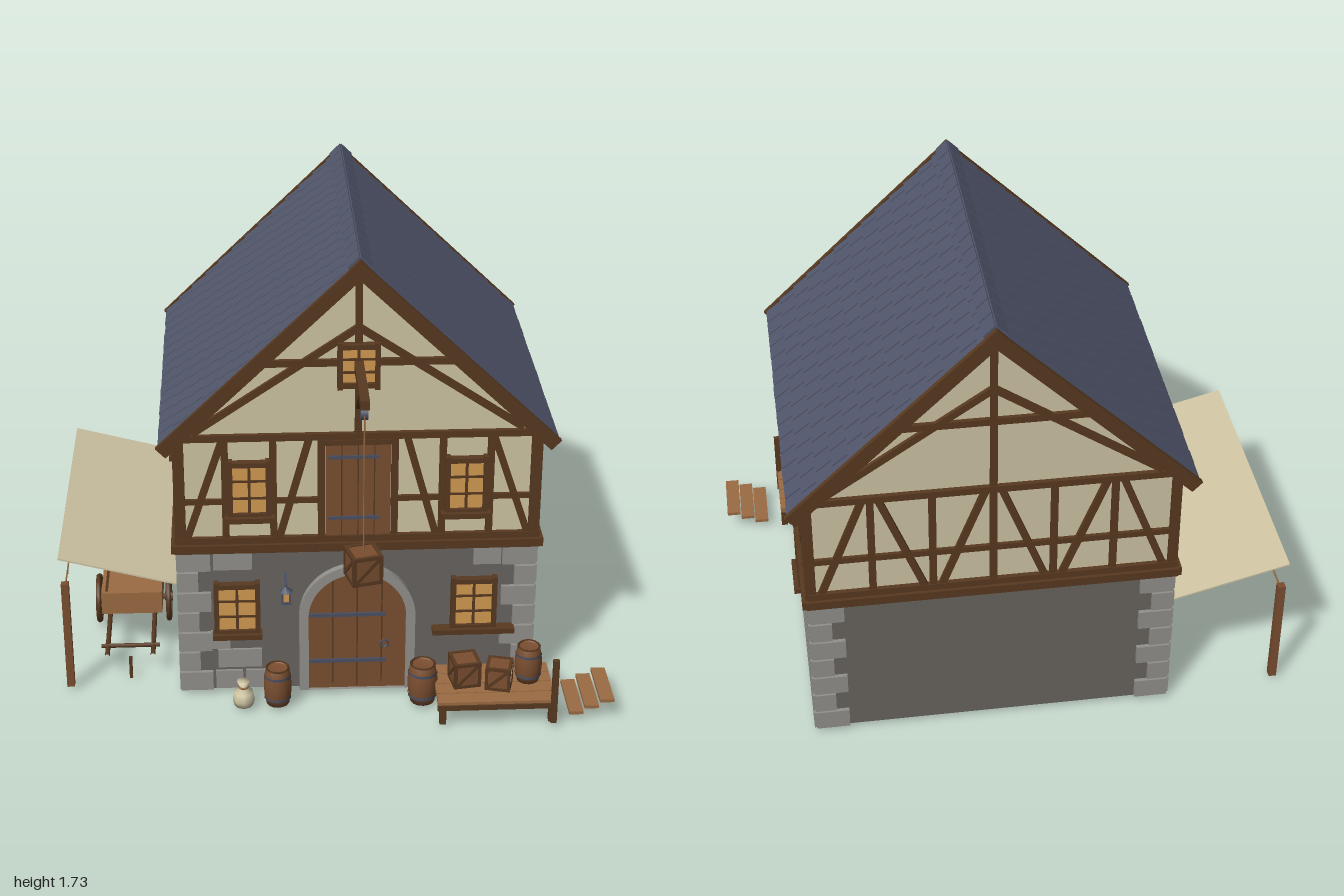
import * as THREE from 'three';
import { mergeGeometries } from 'three/addons/utils/BufferGeometryUtils.js';

const mat = (name, color, side = THREE.FrontSide) => {
  const m = new THREE.MeshStandardMaterial({ color, side });
  m.name = name;
  return m;
};
const plaster = mat('plaster', 0xd0c6a4, THREE.DoubleSide), timber = mat('timber', 0x583920);
const wood = mat('brown wood', 0x7a4e30), plank = mat('light plank', 0x9a6b42);
const stone = mat('stone', 0x92908b), mortar = mat('mortar', 0x686460);
const slate = mat('slate', 0x50556a), gap = mat('slate gap', 0x2d303b);
const glow = mat('lit glass', 0xd39b52), iron = mat('iron', 0x4a4f62);

const G = 0.016, CX = 0.08, CZ = -0.165;
let seed = 7;
const rnd = () => (seed = (seed * 16807) % 2147483647) / 2147483647;

function add(parent, name, geo, material, x = 0, y = 0, z = 0) {
  const m = new THREE.Mesh(geo, material);
  m.name = name;
  m.position.set(x, y, z);
  parent.add(m);
  return m;
}
const box = (p, name, m, w, h, d, x, y, z) => add(p, name, new THREE.BoxGeometry(w, h, d), m, x, y, z);
function group(parent, name, x = 0, y = 0, z = 0, ry = 0) {
  const g = new THREE.Group();
  g.name = name;
  g.position.set(x, y, z);
  g.rotation.y = ry;
  parent.add(g);
  return g;
}
// Straight beam between two points of a wall face
function beam(p, x1, y1, x2, y2, w = 0.025, d = 0.03, z = 0, m = timber, name = 'beam') {
  const b = box(p, name, m, Math.hypot(x2 - x1, y2 - y1), w, d, (x1 + x2) / 2, (y1 + y2) / 2, z);
  b.rotation.z = Math.atan2(y2 - y1, x2 - x1);
}
// Round bar between two points in space
function rod(p, name, a, b, r, m) {
  const c = new THREE.LineCurve3(new THREE.Vector3(...a), new THREE.Vector3(...b));
  add(p, name, new THREE.TubeGeometry(c, 1, r, 6), m);
}

function windowUnit(p, x, y, w, h, sill) {
  const g = group(p, 'window', x, y, 0.008);
  box(g, 'glass', glow, w, h, 0.008, 0, 0, 0.004);
  for (const s of [-1, 1]) {
    box(g, 'jamb', timber, 0.018, h + 0.03, 0.03, s * w / 2, 0, 0.006);
    box(g, 'rail', timber, w + 0.018, 0.018, 0.03, 0, s * h / 2, 0.006);
    box(g, 'glazing bar', timber, w, 0.008, 0.014, 0, s * h / 6, 0.006);
  }
  box(g, 'mullion', timber, 0.01, h, 0.014, 0, 0, 0.006);
  if (sill) box(g, 'sill', timber, sill, 0.02, 0.05, 0, -h / 2 - 0.012, 0.012);
}

// Stones laid in seven courses; keep(u, y) decides where they go
function stones(p, u0, u1, keep) {
  const list = [], H = 0.585 / 7;
  for (let r = 0; r < 7; r++) {
    let u = u0;
    while (u < u1 - 0.01) {
      let w = u === u0 && r % 2 ? 0.085 : 0.12 + rnd() * 0.07;
      if (u1 - u - w < 0.08) w = u1 - u;
      const y = G + (r + 0.5) * H;
      if (keep(u + w / 2, y))
        list.push(new THREE.BoxGeometry(w - 0.012, H - 0.012, 0.03).translate(u + w / 2, y, 0));
      u += w;
    }
  }
  add(p, 'stones', mergeGeometries(list), stone);
}
// Alternating corner stones
function quoins(p, u, s) {
  for (let r = 0; r < 7; r++) {
    const w = r % 2 ? 0.075 : 0.12;
    box(p, 'quoin', stone, w, 0.076, 0.03, u - s * w / 2, G + (r + 0.5) * 0.0836, 0);
  }
}

function gableFrame(p) {
  for (const s of [-1, 1]) beam(p, s * 0.58, 1.07, 0, 1.46);
  beam(p, -0.36, 1.33, 0.36, 1.33);
  beam(p, 0, 1.05, 0, 1.66);
}
function plates(p, half) {
  box(p, 'sill beam', timber, half * 2 + 0.02, 0.032, 0.05, 0, 0.617, 0.005);
  box(p, 'sole plate', timber, half * 2, 0.025, 0.035, 0, 0.645, 0);
  box(p, 'top plate', timber, half * 2, 0.025, 0.034, 0, 1.05, 0);
}

function barrel(p, x, y, z, h, r) {
  const g = group(p, 'barrel', x, y, z);
  const pts = [[0, 0], [0.8, 0], [0.95, 0.25], [1, 0.5], [0.95, 0.75], [0.8, 1], [0.7, 1], [0.7, 0.95], [0, 0.95]];
  add(g, 'staves', new THREE.LatheGeometry(pts.map(([a, b]) => new THREE.Vector2(a * r, b * h)), 14), wood);
  for (const t of [0.2, 0.8])
    add(g, 'hoop', new THREE.CylinderGeometry(r * 0.96, r * 0.96, h * 0.07, 14, 1, true), iron, 0, h * t, 0);
  add(g, 'rim', new THREE.TorusGeometry(r * 0.78, r * 0.08, 4, 14).rotateX(Math.PI / 2), timber, 0, h, 0);
}
function crate(p, x, y, z, s, ry) {
  const g = group(p, 'crate', x, y + s / 2, z, ry), h = s / 2, e = s * 0.12;
  box(g, 'crate body', wood, s * 0.94, s * 0.94, s * 0.94, 0, 0, 0);
  for (const a of [-1, 1]) for (const b of [-1, 1]) {
    box(g, 'edge', timber, s, e, e, 0, a * (h - e / 2), b * (h - e / 2));
    box(g, 'edge', timber, e, s, e, a * (h - e / 2), 0, b * (h - e / 2));
    box(g, 'edge', timber, e, e, s, a * (h - e / 2), b * (h - e / 2), 0);
  }
  for (let i = 0; i < 4; i++) {
    const f = group(g, 'crate side', 0, 0, 0, i * Math.PI / 2);
    beam(f, -h * 0.8, -h * 0.8, h * 0.8, h * 0.8, e, 0.006, h - 0.003, timber, 'diagonal');
  }
}

function frontFace(house) {
  const f = group(house, 'front', CX, 0, 0.41);
  plates(f, 0.645);
  gableFrame(f);
  quoins(f, -0.65, -1);
  quoins(f, 0.645, 1);
  for (const [x, y, w] of [[-0.47, 0.06, 0.1], [-0.37, 0.06, 0.08], [-0.43, 0.15, 0.16], [-0.45, 0.56, 0.14], [0.47, 0.56, 0.1], [-0.5, 0.23, 0.07]])
    box(f, 'loose stone', stone, w, 0.075, 0.02, x, y, 0);
  windowUnit(f, -0.437, 0.365, 0.15, 0.19, 0.18);
  windowUnit(f, 0.425, 0.365, 0.15, 0.19, 0.3);
  windowUnit(f, 0, 1.32, 0.13, 0.145, 0);
  // Arched door with stone surround
  const arch = (r) => {
    const s = new THREE.Shape();
    s.moveTo(-r, G).lineTo(r, G).lineTo(r, 0.325).absarc(0, 0.325, r, 0, Math.PI, false).lineTo(-r, G);
    return s;
  };
  const ring = arch(0.212);
  ring.holes.push(arch(0.178));
  const ext = (s, d) => new THREE.ExtrudeGeometry(s, { depth: d, bevelEnabled: false, curveSegments: 20 });
  add(f, 'door surround', ext(ring, 0.028), stone);
  add(f, 'main door', ext(arch(0.18), 0.014), wood);
  for (const x of [-0.09, 0, 0.09]) box(f, 'board joint', timber, 0.005, 0.46 - Math.abs(x) * 0.3, 0.004, x, 0.255, 0.015);
  for (const y of [0.135, 0.33]) box(f, 'strap hinge', iron, 0.28, 0.014, 0.008, -0.035, y, 0.018);
  add(f, 'door handle', new THREE.TorusGeometry(0.014, 0.004, 5, 10), iron, 0.1, 0.205, 0.02);
  // Loading door
  box(f, 'loading door', wood, 0.23, 0.36, 0.02, 0, 0.84, 0.004);
  for (const x of [-0.058, 0, 0.058]) box(f, 'board joint', timber, 0.004, 0.36, 0.004, x, 0.84, 0.015);
  for (const y of [0.73, 0.97]) box(f, 'strap hinge', iron, 0.18, 0.012, 0.006, -0.015, y, 0.017);
  beam(f, -0.14, 1.025, 0.14, 1.025, 0.02);
  for (const s of [-1, 1]) {
    beam(f, s * 0.63, 0.63, s * 0.63, 1.05, 0.034);
    beam(f, s * 0.13, 0.63, s * 0.13, 1.05);
    windowUnit(f, s * 0.385, 0.85, 0.135, 0.2, 0.18);
    for (const x of [0.3, 0.47]) beam(f, s * x, 0.63, s * x, 1.05);
    beam(f, s * 0.475, 1.05, s * 0.61, 0.65);
    beam(f, s * 0.17, 1.05, s * 0.28, 0.65);
    beam(f, s * 0.47, 0.8, s * 0.63, 0.8, 0.02, 0.026);
    beam(f, s * 0.13, 0.8, s * 0.3, 0.8, 0.02, 0.026);
  }
  // Wall lantern
  const l = group(f, 'lantern', -0.26, 0.45, 0.08);
  box(l, 'bracket', iron, 0.01, 0.01, 0.09, 0, 0.045, -0.04);
  add(l, 'cap', new THREE.ConeGeometry(0.026, 0.022, 6), iron, 0, 0.03, 0);
  box(l, 'light', glow, 0.024, 0.036, 0.024, 0, 0, 0);
  for (const a of [-1, 1]) for (const b of [-1, 1]) box(l, 'lantern bar', iron, 0.006, 0.04, 0.006, a * 0.013, 0, b * 0.013);
  box(l, 'base', iron, 0.036, 0.008, 0.036, 0, -0.022, 0);
}

function sideFace(house, s) {
  const f = group(house, s > 0 ? 'right side' : 'left side', CX + s * 0.638, 0, CZ, s * Math.PI / 2);
  plates(f, 0.59);
  stones(f, -0.585, 0.59, (u, y) => !(Math.abs(u - s * 0.01) < 0.19 && y > 0.15 && y < 0.53));
  windowUnit(f, 0, 0.36, 0.14, 0.2, 0.18);
  windowUnit(f, 0, 0.845, 0.145, 0.2, 0.2);
  for (const t of [-1, 1]) {
    for (const u of [0.095, 0.26, 0.42, 0.575]) beam(f, t * u, 0.64, t * u, 1.05);
    beam(f, t * 0.095, 0.795, t * 0.58, 0.795, 0.022, 0.026);
    for (const [a, b] of [[0.12, 0.24], [0.395, 0.29], [0.445, 0.55]]) beam(f, t * a, 1.05, t * b, 0.65);
  }
}

function backFace(house) {
  const f = group(house, 'back', CX, 0, -0.74, Math.PI);
  plates(f, 0.645);
  gableFrame(f);
  quoins(f, -0.645, -1);
  quoins(f, 0.645, 1);
  for (let i = -3; i <= 3; i++) {
    beam(f, i * 0.21, 0.64, i * 0.21, 1.05);
    if (i % 2 === 0) for (const t of [-1, 1]) if (Math.abs(i + t) <= 3) beam(f, i * 0.21 + t * 0.025, 1.05, i * 0.21 + t * 0.18, 0.65);
  }
  beam(f, -0.63, 0.795, 0.63, 0.795, 0.022, 0.026);
}

function roof(house) {
  const ang = 0.765, L = 0.965, rows = 13, cols = 15, W = 1.25;
  for (const s of [-1, 1]) {
    const g = group(house, 'roof slope', CX, 1.71, CZ);
    g.rotation.z = -s * ang;
    box(g, 'roof deck', gap, L, 0.03, W, s * L / 2, -0.022, 0);
    const tiles = [], cw = W / cols, rh = L / rows;
    for (let r = 0; r < rows; r++) for (let c = 0; c <= cols; c++) {
      const off = r % 2 ? 0.5 : 0;
      const a = Math.max(0, c - off) * cw, b = Math.min(cols, c + 1 - off) * cw;
      if (b - a < 0.01) continue;
      tiles.push(new THREE.BoxGeometry(rh - 0.004 + rnd() * 0.008, 0.012, b - a - 0.007).rotateZ(s * 0.09)
        .translate(s * (r + 0.5) * rh, -0.003, (a + b) / 2 - W / 2));
    }
    add(g, 'roof tiles', mergeGeometries(tiles), slate);
    for (const t of [-1, 1]) box(g, 'barge board', timber, L + 0.02, 0.05, 0.018, s * L / 2, -0.018, t * (W / 2 + 0.006));
  }
  for (let i = 0; i < 15; i++) for (const s of [-1, 1]) {
    const b = box(house, 'ridge tile', slate, 0.055, 0.012, 0.076, CX + s * 0.019, 1.706, CZ + (i - 7) * 0.0833);
    b.rotation.z = -s * ang;
  }
}

function hoist(root) {
  const g = group(root, 'hoist', CX, 0, 0);
  box(g, 'hoist beam', timber, 0.032, 0.032, 0.36, 0, 1.322, 0.58);
  const b = box(g, 'hoist brace', timber, 0.022, 0.022, 0.2, 0, 1.235, 0.51);
  b.rotation.x = -0.7;
  add(g, 'pulley', new THREE.CylinderGeometry(0.027, 0.027, 0.025, 14).rotateZ(Math.PI / 2), slate, 0, 1.277, 0.71);
  rod(g, 'rope', [0, 1.277, 0.737], [0, 0.75, 0.737], 0.003, plank);
  crate(g, 0, 0.657, 0.735, 0.108, 0.25);
}

function loadingDeck(root) {
  const g = group(root, 'loading deck');
  for (let i = 0; i < 4; i++) box(g, 'deck plank', plank, 0.425, 0.022, 0.061, 0.57, 0.096, 0.462 + i * 0.065);
  box(g, 'deck edge', timber, 0.43, 0.02, 0.012, 0.57, 0.086, 0.687);
  for (const x of [0.375, 0.77]) for (const z of [0.45, 0.675]) box(g, 'deck leg', timber, 0.024, 0.085, 0.024, x, 0.058, z);
  box(g, 'deck post', timber, 0.022, 0.26, 0.018, 0.775, 0.146, 0.69);
  for (let i = 0; i < 3; i++) box(g, 'step', plank, 0.052, 0.012, 0.215, 0.862 + i * 0.055, 0.036 + i * 0.024, 0.56);
  crate(g, 0.465, 0.107, 0.545, 0.1, 0.15);
  crate(g, 0.588, 0.107, 0.575, 0.092, -0.25);
  barrel(g, 0.698, 0.107, 0.54, 0.14, 0.05);
  barrel(root, 0.315, G, 0.52, 0.155, 0.056);
  barrel(root, -0.215, G, 0.51, 0.148, 0.052);
  const sack = [[0, 0], [0.034, 0], [0.041, 0.025], [0.036, 0.055], [0.014, 0.075], [0.024, 0.1], [0, 0.095]];
  add(root, 'sack', new THREE.LatheGeometry(sack.map(([a, b]) => new THREE.Vector2(a, b)), 9), plaster, -0.34, G, 0.52);
  add(root, 'sack tie', new THREE.TorusGeometry(0.016, 0.004, 5, 9).rotateX(Math.PI / 2), plank, -0.34, 0.091, 0.52);
}

function awning(root) {
  const g = group(root, 'awning');
  const cloth = box(g, 'cloth', plaster, 0.447, 0.006, 1.09, -0.783, 0.5, -0.171);
  cloth.rotation.z = -0.263;
  for (const z of [-0.7, 0.36]) box(g, 'awning post', wood, 0.028, 0.435, 0.028, -0.98, G + 0.2175, z);
  for (let i = 0; i < 10; i++) {
    const z = -0.65 + i * 0.107, flag = new THREE.Shape([[-0.035, 0], [0.035, 0], [0, -0.03]].map(([a, b]) => new THREE.Vector2(a, b)));
    add(g, 'pennant', new THREE.ShapeGeometry(flag).rotateY(-Math.PI / 2), plaster, -0.98, 0.43, z);
  }
  rod(g, 'pennant line', [-0.98, 0.432, -0.7], [-0.98, 0.432, 0.36], 0.003, plank);
}

function cart(root) {
  const g = group(root, 'cart', -0.76, 0, -0.11);
  box(g, 'cart floor', plank, 0.22, 0.014, 0.34, 0, 0.147, 0);
  for (const s of [-1, 1]) {
    box(g, 'cart side', plank, 0.014, 0.09, 0.34, s * 0.108, 0.185, 0);
    box(g, 'cart end', plank, 0.23, 0.09, 0.014, 0, 0.185, s * 0.165);
    const w = group(g, 'wheel', s * 0.135, 0.112, 0, Math.PI / 2);
    add(w, 'rim', new THREE.TorusGeometry(0.086, 0.011, 6, 20), timber);
    for (let i = 0; i < 4; i++) {
      const a = i * Math.PI / 4, c = Math.cos(a) * 0.086, d = Math.sin(a) * 0.086;
      beam(w, -c, -d, c, d, 0.009, 0.009, 0, timber, 'spoke');
    }
    add(w, 'hub', new THREE.CylinderGeometry(0.018, 0.018, 0.03, 10).rotateX(Math.PI / 2), timber);
    rod(g, 'shaft', [s * 0.085, 0.135, 0.1], [s * 0.085, 0.105, 0.42], 0.009, timber);
  }
  rod(g, 'axle', [-0.135, 0.112, 0], [0.135, 0.112, 0], 0.01, timber);
  rod(g, 'handle bar', [-0.11, 0.113, 0.36], [0.11, 0.113, 0.36], 0.008, timber);
  box(g, 'prop stick', timber, 0.012, 0.09, 0.012, 0, 0.045, 0.405);
}

export function createModel() {
  const root = new THREE.Group();
  root.name = 'warehouse';
  const house = group(root, 'house');
  box(house, 'stone walls', mortar, 1.27, 0.59, 1.15, CX, G + 0.295, CZ);
  // Plastered upper storey with gables
  const upper = new THREE.Shape([[-0.635, 0.605], [0.635, 0.605], [0.635, 1.04], [0, 1.665], [-0.635, 1.04]].map(([x, y]) => new THREE.Vector2(x, y)));
  add(house, 'plaster walls', new THREE.ExtrudeGeometry(upper, { depth: 1.15, bevelEnabled: false }), plaster, CX, 0, -0.74);
  frontFace(house);
  sideFace(house, 1);
  sideFace(house, -1);
  backFace(house);
  roof(house);
  hoist(root);
  loadingDeck(root);
  awning(root);
  cart(root);
  return root;
}
